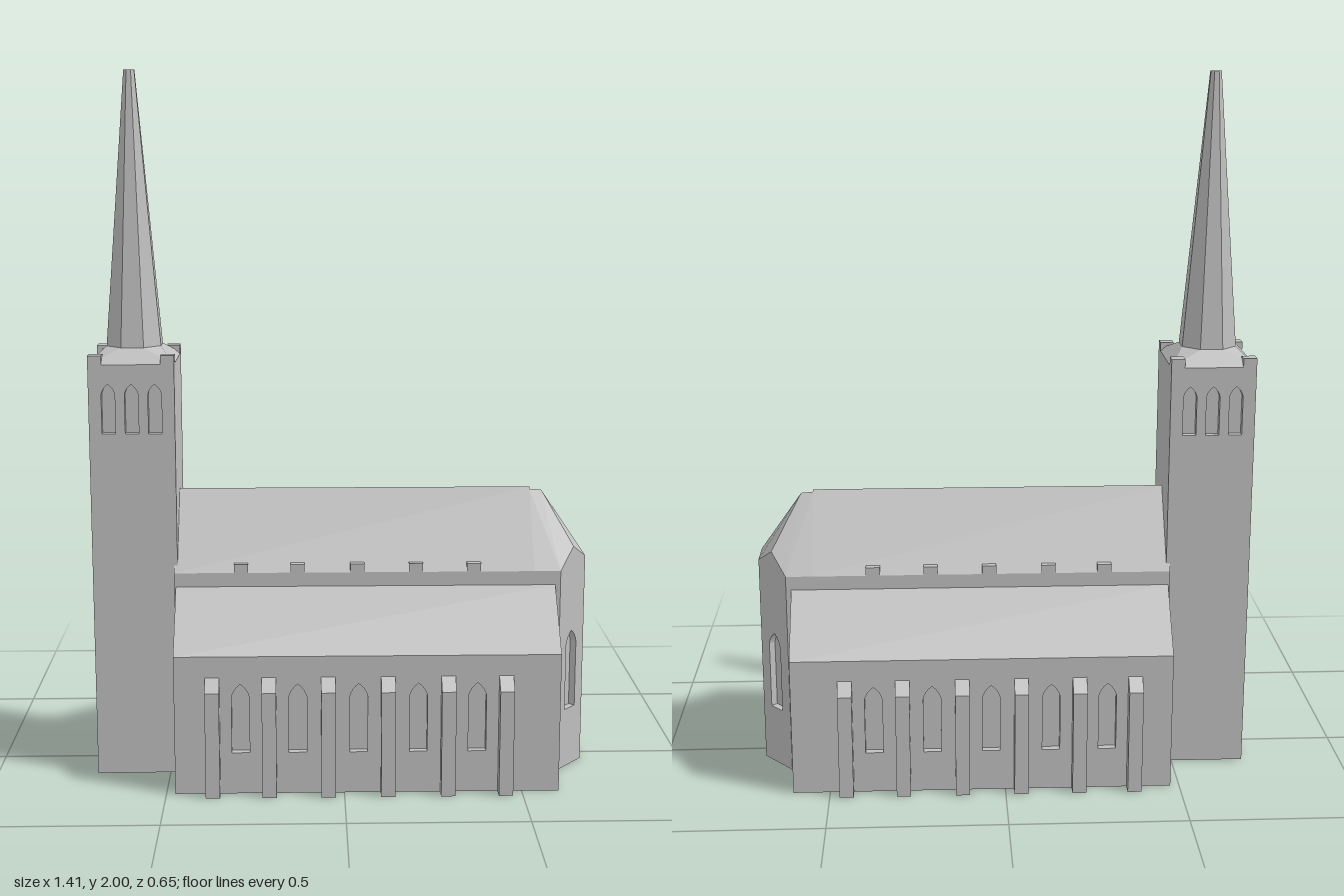
import * as THREE from 'three';

const RECESS = 0.02;

export function createModel() {
  const model = new THREE.Group();
  model.name = 'church';
  const stone = new THREE.MeshStandardMaterial({ color: 0xc0c0c0 });
  stone.name = 'stone grey';

  const add = (name, geometry, x = 0, y = 0, z = 0, turn = 0) => {
    const mesh = new THREE.Mesh(geometry, stone);
    mesh.name = name;
    mesh.position.set(x, y, z);
    mesh.rotation.y = turn;
    model.add(mesh);
    return mesh;
  };
  const box = (name, w, h, d, x, y, z) => add(name, new THREE.BoxGeometry(w, h, d), x, y, z);
  const outline = (pts) => new THREE.Shape(pts.map(([x, y]) => new THREE.Vector2(x, y)));

  // Pointed window opening
  const lancet = (x, y0, y1, w) => {
    const h = w / 2, spring = y1 - w * 0.75;
    const path = new THREE.Path();
    path.moveTo(x - h, y0);
    path.lineTo(x - h, spring);
    path.quadraticCurveTo(x - h * 0.8, spring + w * 0.45, x, y1);
    path.quadraticCurveTo(x + h * 0.8, spring + w * 0.45, x + h, spring);
    path.lineTo(x + h, y0);
    path.closePath();
    return path;
  };

  // Wall skin with window recesses; its outer face looks along the turned +z
  const wall = (name, pts, windows, x, z, turn) => {
    const shape = outline(pts);
    shape.holes = windows.map((w) => lancet(...w));
    const geo = new THREE.ExtrudeGeometry(shape, { depth: RECESS, bevelEnabled: false, curveSegments: 4 });
    geo.translate(0, 0, -RECESS);
    return add(name, geo, x, 0, z, turn);
  };
  const rect = (w, h) => [[-w / 2, 0], [w / 2, 0], [w / 2, h], [-w / 2, h]];

  // Solid running along x from a symmetric half section of [z, y] points
  const alongX = (name, half, x0, x1) => {
    const pts = [...half, ...half.map(([z, y]) => [-z, y]).reverse()];
    const geo = new THREE.ExtrudeGeometry(outline(pts), { depth: x1 - x0, bevelEnabled: false });
    geo.rotateY(Math.PI / 2);
    return add(name, geo, x0);
  };

  // Flat-faced surface from triangles
  const facets = (name, triangles) => {
    const geo = new THREE.BufferGeometry();
    geo.setAttribute('position', new THREE.Float32BufferAttribute(triangles.flat(2), 3));
    geo.computeVertexNormals();
    return add(name, geo);
  };

  // Tower
  const tx = -0.59, tw = 0.24, td = 0.264, th = 1.195;
  box('towerCore', tw - 2 * RECESS, th, td - 2 * RECESS, tx, th / 2, 0);
  const belfry = [-0.065, 0, 0.065].map((x) => [x, 1.0, 1.14, 0.038]);
  const westWindows = [-0.09, -0.03, 0.03, 0.09].map((x) => [x, 1.0, 1.14, 0.036]);
  westWindows.push([0, 0.34, 0.54, 0.05], [0, 0.03, 0.17, 0.05]);
  wall('towerFrontWall', rect(tw, th), belfry, tx, td / 2, 0);
  wall('towerBackWall', rect(tw, th), belfry, tx, -td / 2, Math.PI);
  wall('towerWestWall', rect(td - 2 * RECESS, th), westWindows, tx - tw / 2, 0, -Math.PI / 2);
  wall('towerEastWall', rect(td - 2 * RECESS, th), [], tx + tw / 2, 0, Math.PI / 2);
  for (const sx of [-1, 1]) {
    for (const sz of [-1, 1]) {
      box('towerCornerBlock', 0.038, 0.04, 0.038, tx + sx * (tw / 2 - 0.019), 1.2, sz * (td / 2 - 0.019));
    }
  }

  // Sloping tower roof, square at the bottom and octagonal at the top
  const octagon = 0.083, skirt = [];
  const rim = [], base = [];
  for (let i = 0; i < 8; i++) {
    const a = Math.PI / 8 + (i * Math.PI) / 4;
    const c = Math.cos(a), s = Math.sin(a);
    rim.push([tx + octagon * c, 1.235, octagon * s]);
    base.push([tx + Math.sign(c) * tw / 2, th, Math.sign(s) * td / 2]);
  }
  for (let i = 0; i < 8; i++) {
    const j = (i + 1) % 8;
    skirt.push([base[i], rim[i], rim[j]]);
    if (base[i][0] !== base[j][0] || base[i][2] !== base[j][2]) skirt.push([base[i], rim[j], base[j]]);
  }
  facets('towerRoof', skirt);

  // Spire
  const spire = new THREE.CylinderGeometry(0.016, octagon, 0.765, 8).rotateY(Math.PI / 8).toNonIndexed();
  spire.computeVertexNormals();
  add('spire', spire, tx, 1.6175, 0);

  // Nave and aisles
  const inner = 0.29 - RECESS;
  alongX('aisles', [[inner, 0], [inner, 0.4], [0.29, 0.4], [0.145, 0.56]], -0.475, 0.605);
  alongX('nave', [[0.145, 0.5], [0.145, 0.6], [0, 0.815]], -0.48, 0.545);

  const bays = [-0.29, -0.13, 0.04, 0.207, 0.372];
  const piers = [-0.368, -0.21, -0.045, 0.122, 0.29, 0.452];
  const pierShape = outline([[0, 0], [0.035, 0], [0.035, 0.305], [0, 0.34]]);
  for (const side of [1, -1]) {
    const turn = side > 0 ? 0 : Math.PI;
    const windows = bays.map((x) => [side * (x - 0.065), 0.12, 0.32, 0.05]);
    wall('aisleWall', rect(1.08, 0.4), windows, 0.065, side * 0.29, turn);
    // Dormers
    for (const x of bays) box('dormer', 0.04, 0.04, 0.034, x, 0.605, side * 0.131);
    // Buttresses
    for (const x of piers) {
      const geo = new THREE.ExtrudeGeometry(pierShape, { depth: 0.04, bevelEnabled: false });
      geo.translate(0, 0, -0.02).rotateY(-Math.PI / 2);
      add('buttress', geo, x, 0, side * 0.29, turn);
    }
  }

  // Apse walls: plan corners [x, z, wall height] from front to back
  const plan = [
    [0.545, 0.145, 0.6], [0.62, 0.145, 0.6], [0.705, 0.05, 0.62],
    [0.705, -0.05, 0.62], [0.62, -0.145, 0.6], [0.545, -0.145, 0.6],
  ];
  for (let i = 0; i < 5; i++) {
    const [x0, z0, h0] = plan[i], [x1, z1, h1] = plan[i + 1];
    const w = Math.hypot(x1 - x0, z1 - z0) / 2;
    const pts = [[-w, 0], [w, 0], [w, h1], [-w, h0]];
    if (i === 1 || i === 3) pts.splice(3, 0, [0, 0.66]);
    const windows = i > 0 && i < 4 ? [[0, 0.175, 0.41, 0.052]] : [];
    wall('apseWall', pts, windows, (x0 + x1) / 2, (z0 + z1) / 2, Math.atan2(z0 - z1, x1 - x0));
  }
  // Apse core, set back behind the window recesses
  const core = [[0.5, -0.125], [0.611, -0.125], [0.685, -0.0425], [0.685, 0.0425], [0.611, 0.125], [0.5, 0.125]];
  const coreGeo = new THREE.ExtrudeGeometry(outline(core), { depth: 0.6, bevelEnabled: false });
  coreGeo.rotateX(-Math.PI / 2);
  add('apseCore', coreGeo);

  // Apse roof, folded over the two diagonal gables
  const R = [0.545, 0.808, 0], T = [0.58, 0.805, 0], A = [0.545, 0.6, 0.145];
  const B = [0.62, 0.6, 0.145], P = [0.6625, 0.66, 0.0975], C = [0.705, 0.62, 0.05], M = [0.705, 0.62, 0];
  const half = [[R, A, B], [R, B, T], [T, B, P], [T, P, C], [T, C, M]];
  const mirror = ([x, y, z]) => [x, y, -z];
  facets('apseRoof', [...half, ...half.map(([a, b, c]) => [mirror(a), mirror(c), mirror(b)])]);

  return model;
}
